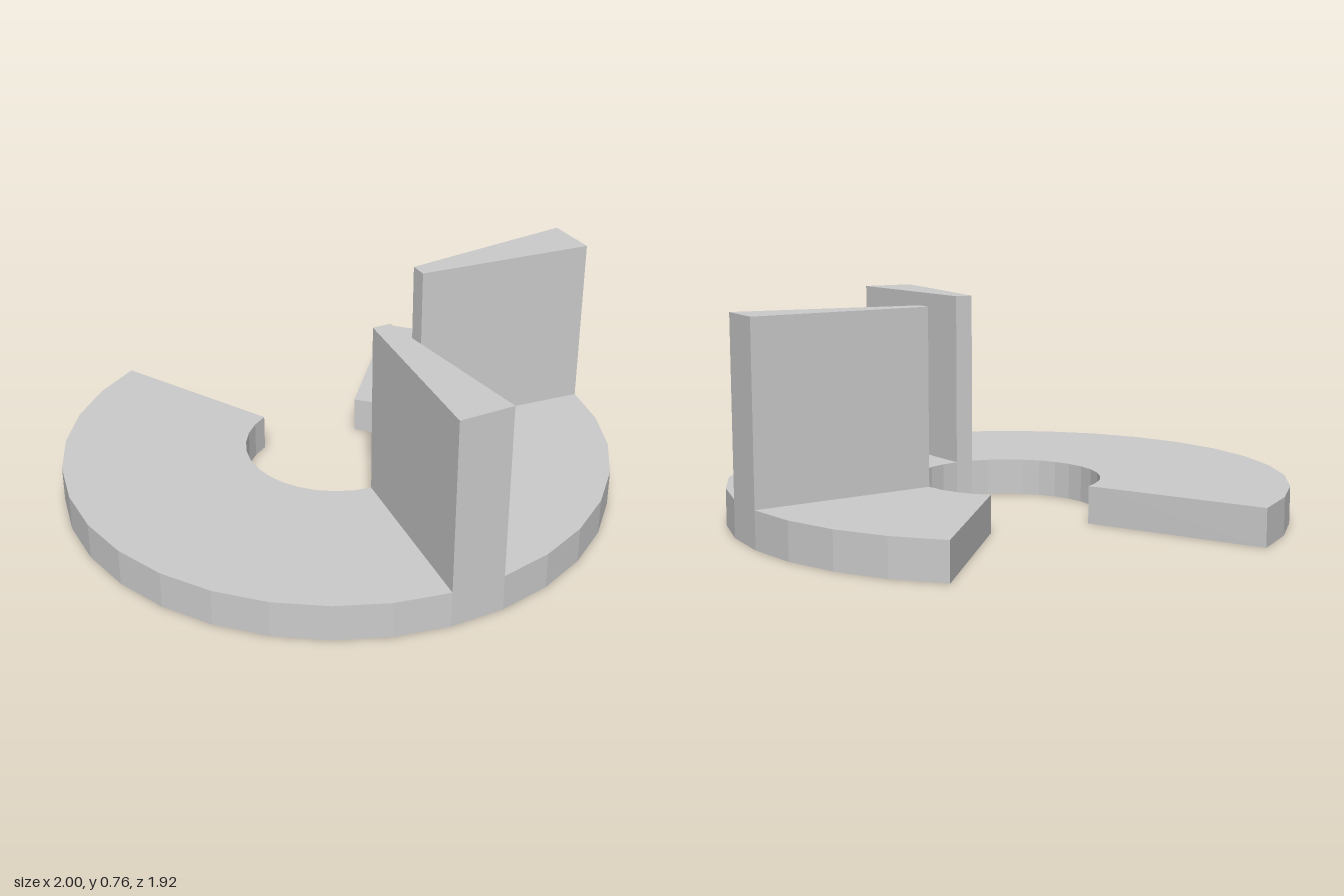
import * as THREE from 'three';

const STEP = Math.PI / 16; // 32 facets per full turn
const INNER = 1 / 3, OUTER = 1;
const BASE_TOP = 0.133, WALL_TOP = 0.76;

const material = new THREE.MeshStandardMaterial({ color: 0xcccccc, flatShading: true });

// Faceted ring sector from step a to step b (0 = +x, turning toward +z), between two heights
function sector(name, a, b, bottom, top) {
  const points = [];
  for (let i = a; i <= b; i++) points.push(new THREE.Vector2(Math.cos(i * STEP), Math.sin(i * STEP)).multiplyScalar(OUTER));
  for (let i = b; i >= a; i--) points.push(new THREE.Vector2(Math.cos(i * STEP), Math.sin(i * STEP)).multiplyScalar(INNER));
  const geometry = new THREE.ExtrudeGeometry(new THREE.Shape(points), { depth: top - bottom, bevelEnabled: false });
  geometry.rotateX(Math.PI / 2).translate(0, top, 0);
  const mesh = new THREE.Mesh(geometry, material);
  mesh.name = name;
  return mesh;
}

export function createModel() {
  const model = new THREE.Group();
  model.name = 'openRingWithWalls';

  // Flat ring with a gap at the back
  model.add(sector('baseRing', -4, 22, 0, BASE_TOP));

  // Two upright wedge walls, a quarter turn apart
  model.add(sector('leftWall', 0, 1, BASE_TOP, WALL_TOP));
  model.add(sector('frontWall', 8, 9, BASE_TOP, WALL_TOP));

  // Centre the depth, since the gap shortens the back
  model.children.forEach((part) => { part.position.z = -0.038; });
  return model;
}
